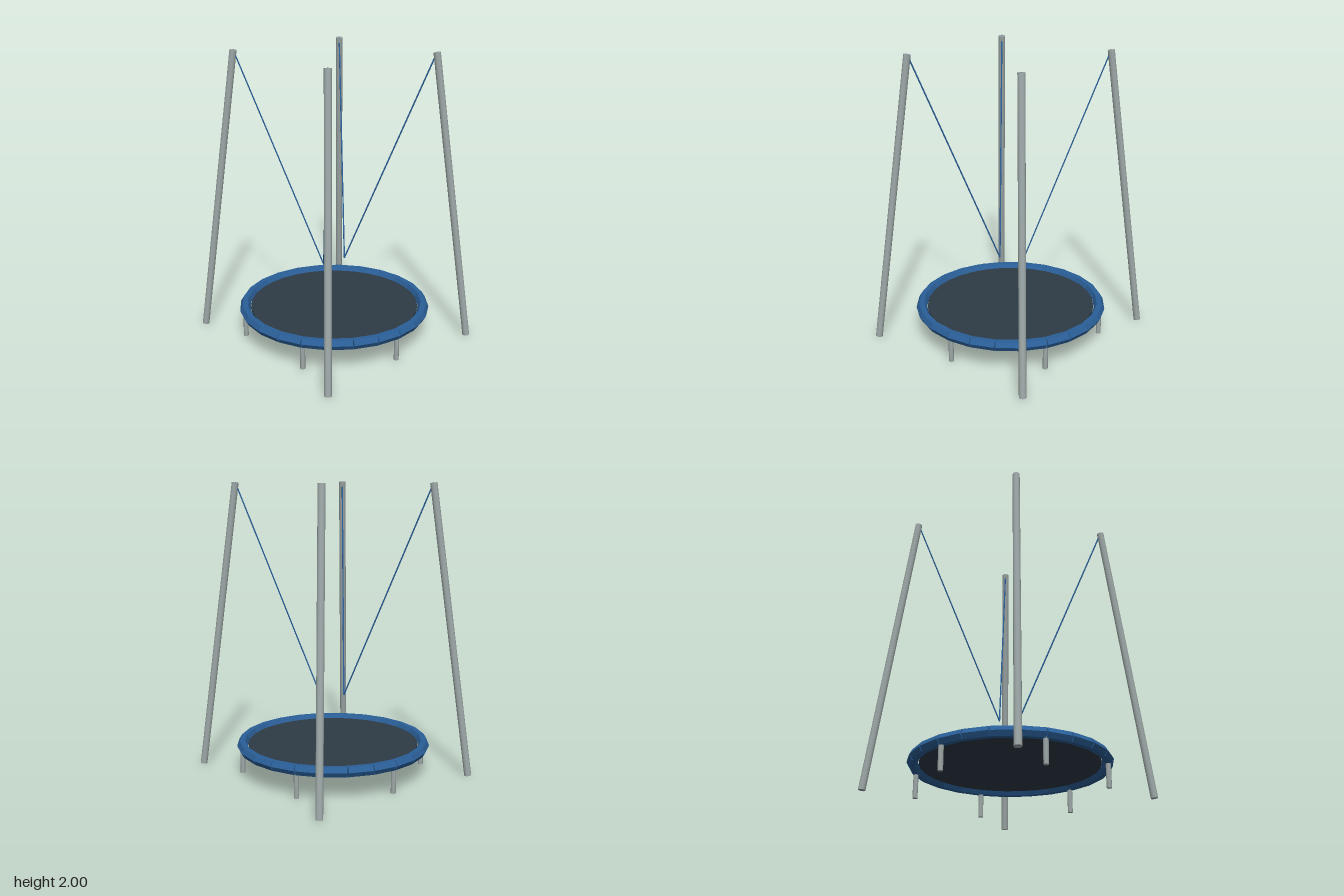
import * as THREE from 'three';

const V = (x, y, z) => new THREE.Vector3(x, y, z);

// Round bar between two points
function bar(name, a, b, radius, sides, material) {
  const dir = b.clone().sub(a);
  const mesh = new THREE.Mesh(new THREE.CylinderGeometry(radius, radius, dir.length(), sides), material);
  mesh.name = name;
  mesh.position.copy(a).add(b).multiplyScalar(0.5);
  mesh.quaternion.setFromUnitVectors(V(0, 1, 0), dir.normalize());
  return mesh;
}

export function createModel() {
  const steel = new THREE.MeshStandardMaterial({ color: 0x9ea8a8 });
  steel.name = 'grey steel';
  const blue = new THREE.MeshStandardMaterial({ color: 0x2a5f98, flatShading: true });
  blue.name = 'blue padding';
  const dark = new THREE.MeshStandardMaterial({ color: 0x2e3b45 });
  dark.name = 'dark mat';

  const model = new THREE.Group();
  model.name = 'bungeeTrampoline';

  // Jumping mat
  const mat = new THREE.Mesh(new THREE.CylinderGeometry(0.59, 0.59, 0.015, 32), dark);
  mat.name = 'jumpingMat';
  mat.position.y = 0.2;
  model.add(mat);

  // Ring of straight hexagonal pads, slightly open at the outer corners
  const ring = new THREE.Group();
  ring.name = 'padRing';
  const count = 24, ringRadius = 0.627;
  const padLength = 2 * ringRadius * Math.tan(Math.PI / count);
  const padGeometry = new THREE.CylinderGeometry(0.037, 0.037, padLength, 6)
    .rotateZ(Math.PI / 2)
    .translate(0, 0.2, ringRadius);
  for (let i = 0; i < count; i++) {
    const pad = new THREE.Mesh(padGeometry, blue);
    pad.name = 'pad';
    pad.rotation.y = ((i + 0.5) / count) * Math.PI * 2;
    ring.add(pad);
  }
  model.add(ring);

  // Short legs below the ring
  for (let i = 0; i < 6; i++) {
    const a = (i * Math.PI) / 3;
    const x = 0.632 * Math.cos(a), z = 0.632 * Math.sin(a);
    model.add(bar('leg', V(x, 0.01, z), V(x, 0.2, z), 0.017, 10, steel));
  }

  // Leaning corner poles, each with a bungee cord from its tip to the harness point
  for (const sx of [-1, 1]) {
    for (const sz of [-1, 1]) {
      const tip = V(sx * 0.479, 1.997, sz * 0.465);
      model.add(bar('pole', V(sx * 0.683, 0.004, sz * 0.645), tip, 0.024, 16, steel));
      model.add(bar('bungeeCord', V(0, 0.525, sz * 0.096), tip, 0.005, 6, blue));
    }
  }
  return model;
}
